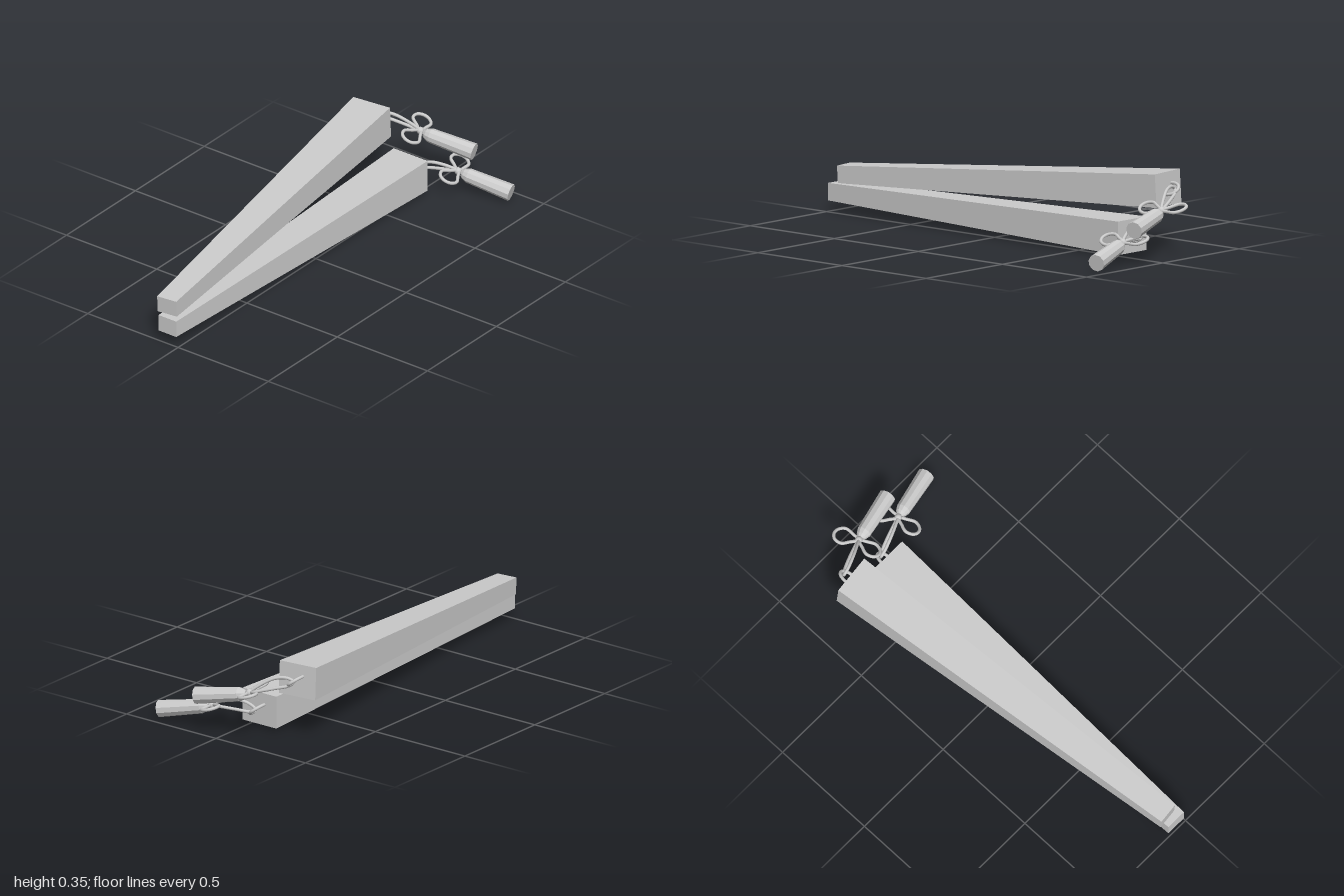
import * as THREE from 'three';

const V = (x, y, z) => new THREE.Vector3(x, y, z);
const grey = new THREE.MeshStandardMaterial({ color: 0xcccccc });
const faceted = new THREE.MeshStandardMaterial({ color: 0xcccccc, flatShading: true });

function add(parent, name, geometry, material = grey) {
  const mesh = new THREE.Mesh(geometry, material);
  mesh.name = name;
  parent.add(mesh);
  return mesh;
}

// Round cord through a few points
function cord(parent, name, points, closed, radius = 0.0075) {
  const curve = new THREE.CatmullRomCurve3(points, closed, 'centripetal');
  return add(parent, name, new THREE.TubeGeometry(curve, 40, radius, 8, closed));
}

// Closed teardrop loop that starts and ends at a knot
function loop(parent, name, knot, along, side) {
  const shape = [[0, 0], [0.3, 0.55], [0.62, 1], [0.9, 0.68], [1, 0], [0.9, -0.68], [0.62, -1], [0.3, -0.55]];
  const points = shape.map(([a, s]) => knot.clone().addScaledVector(along, a).addScaledVector(side, s));
  return cord(parent, name, points, true);
}

// Square bar, slim at the front end and wide at the back end
function bar(parent, front, back) {
  const length = front.distanceTo(back);
  const geometry = new THREE.BoxGeometry(1, 1, length);
  const p = geometry.attributes.position;
  for (let i = 0; i < p.count; i++) {
    const atFront = p.getZ(i) > 0;
    p.setX(i, p.getX(i) * (atFront ? 0.098 : 0.188));
    p.setY(i, p.getY(i) * (atFront ? 0.078 : 0.15));
  }
  geometry.computeVertexNormals();
  const mesh = add(parent, 'taperedBar', geometry, faceted);
  mesh.position.copy(front).lerp(back, 0.5);
  mesh.lookAt(front);
}

// Faceted tassel running from its neck to its flat end
function tassel(parent, neck, end) {
  const axis = end.clone().sub(neck);
  const length = axis.length();
  const profile = [[0, 0], [0.015, 0.003], [0.025, 0.015], [0.033, 0.036], [0.039, length], [0, length]]
    .map(([r, y]) => new THREE.Vector2(r, y));
  const mesh = add(parent, 'tassel', new THREE.LatheGeometry(profile, 10), faceted);
  mesh.position.copy(neck);
  mesh.quaternion.setFromUnitVectors(V(0, 1, 0), axis.normalize());
}

function stick({ name, front, back, knot, neck, end }) {
  const group = new THREE.Group();
  group.name = name;
  bar(group, front, back);

  // Tilted staple in the middle of the wide end
  const staple = [[-1, 0.015], [-1, -0.02], [-0.65, -0.046], [0, -0.056], [0.65, -0.046], [1, -0.02], [1, 0.015]];
  cord(group, 'staple', staple.map(([s, z]) => back.clone().add(V(0.026 * s, -0.022 * s, z))), false);

  // Long cord loop from the staple to the knot
  const start = back.clone().add(V(-0.005, 0.004, -0.035));
  const run = knot.clone().sub(start);
  const open = V(0.008, 0.022, 0.008);
  const strand = [[0, 0], [0.12, 0.7], [0.4, 1], [0.75, 0.6], [1, 0], [0.75, -0.5], [0.4, -0.8], [0.12, -0.65]];
  cord(group, 'hangingCord', strand.map(([a, s]) =>
    start.clone().addScaledVector(run, a).addScaledVector(open, s).add(V(0, 0.012 * Math.sin(a * Math.PI), 0))), true);

  // Bow with two loops and a knot
  loop(group, 'bowLoopBack', knot, V(-0.058, 0.018, -0.095), V(0.036, -0.012, -0.018));
  loop(group, 'bowLoopFront', knot, V(0.008, 0.008, 0.115), V(0.036, -0.019, -0.005));
  add(group, 'knot', new THREE.SphereGeometry(0.017, 12, 8)).position.copy(knot);

  tassel(group, neck, end);
  return group;
}

export function createModel() {
  const model = new THREE.Group();
  model.name = 'tasselledSticks';
  model.add(
    stick({
      name: 'lowerStick',
      front: V(-0.059, 0.091, 1), back: V(-0.059, 0.09, -0.765),
      knot: V(0.122, 0.096, -0.873), neck: V(0.134, 0.09, -0.878), end: V(0.366, 0.041, -0.937),
    }),
    stick({
      name: 'upperStick',
      front: V(-0.083, 0.169, 0.972), back: V(-0.281, 0.275, -0.777),
      knot: V(-0.105, 0.212, -0.896), neck: V(-0.093, 0.204, -0.9), end: V(0.144, 0.161, -0.96),
    }),
  );
  return model;
}
